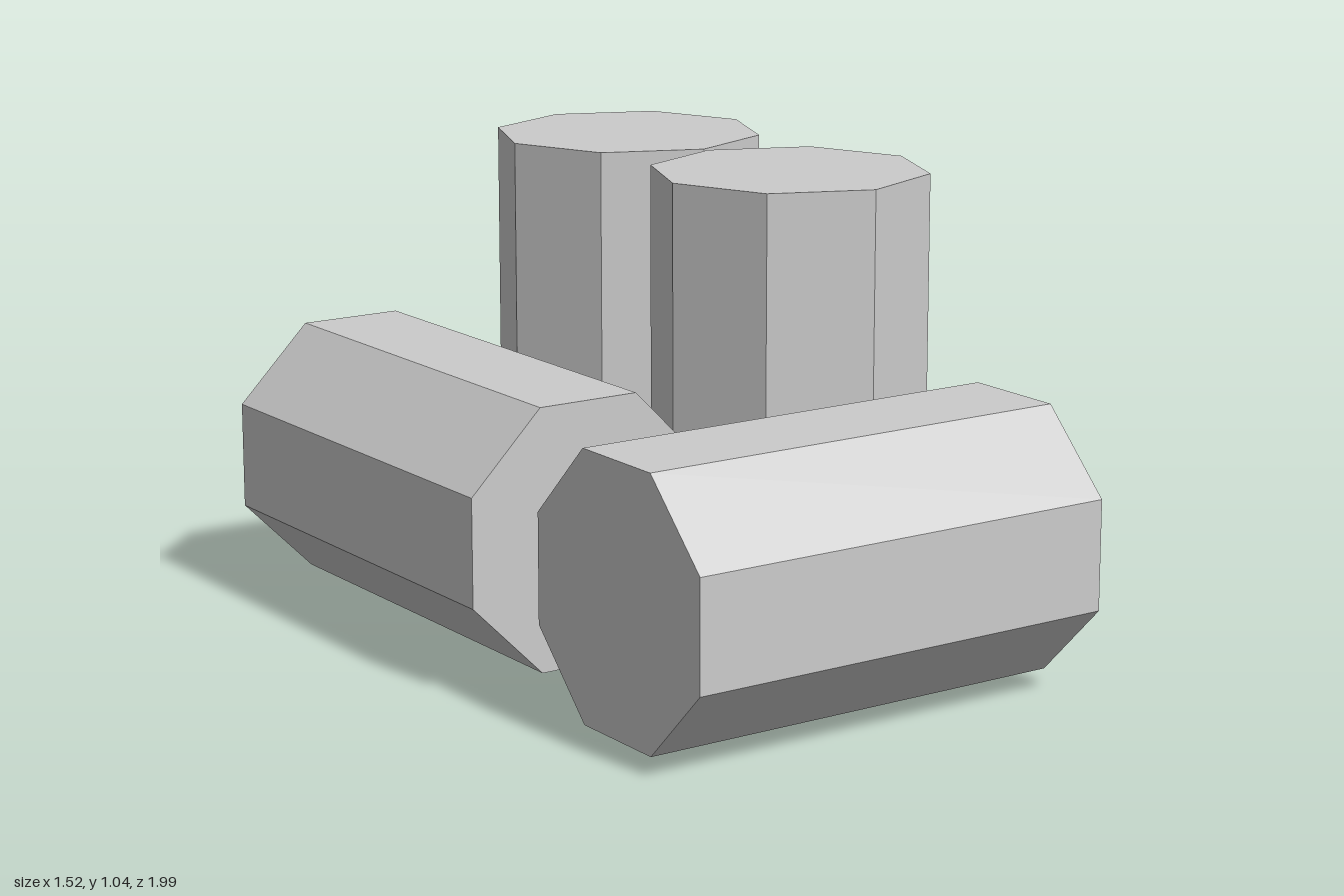
import * as THREE from 'three';

const RADIUS = 0.324, LENGTH = 1.045, YAW = -0.193;

export function createModel() {
  const model = new THREE.Group();
  const material = new THREE.MeshStandardMaterial({ color: 0xcccccc, flatShading: true });

  // Octagonal barrels: upright ones have a corner on the axis, lying ones rest flat side up
  function barrel(name, axis, x, y, z) {
    const geometry = new THREE.CylinderGeometry(RADIUS, RADIUS, LENGTH, 8);
    if (axis !== 'y') geometry.rotateY(Math.PI / 8);
    if (axis === 'x') geometry.rotateZ(Math.PI / 2);
    if (axis === 'z') geometry.rotateX(Math.PI / 2);
    const mesh = new THREE.Mesh(geometry, material);
    mesh.name = name;
    mesh.position.set(x, y, z);
    mesh.rotation.y = YAW;
    model.add(mesh);
  }

  // Two standing barrels
  barrel('standingBarrelBack', 'y', 0.44, LENGTH / 2, -0.622);
  barrel('standingBarrelFront', 'y', 0.314, LENGTH / 2, 0.03);

  // Two barrels lying on their sides
  barrel('lyingBarrelFront', 'x', -0.195, 0.33, 0.598);
  barrel('lyingBarrelBack', 'z', -0.28, 0.33, -0.432);

  return model;
}
